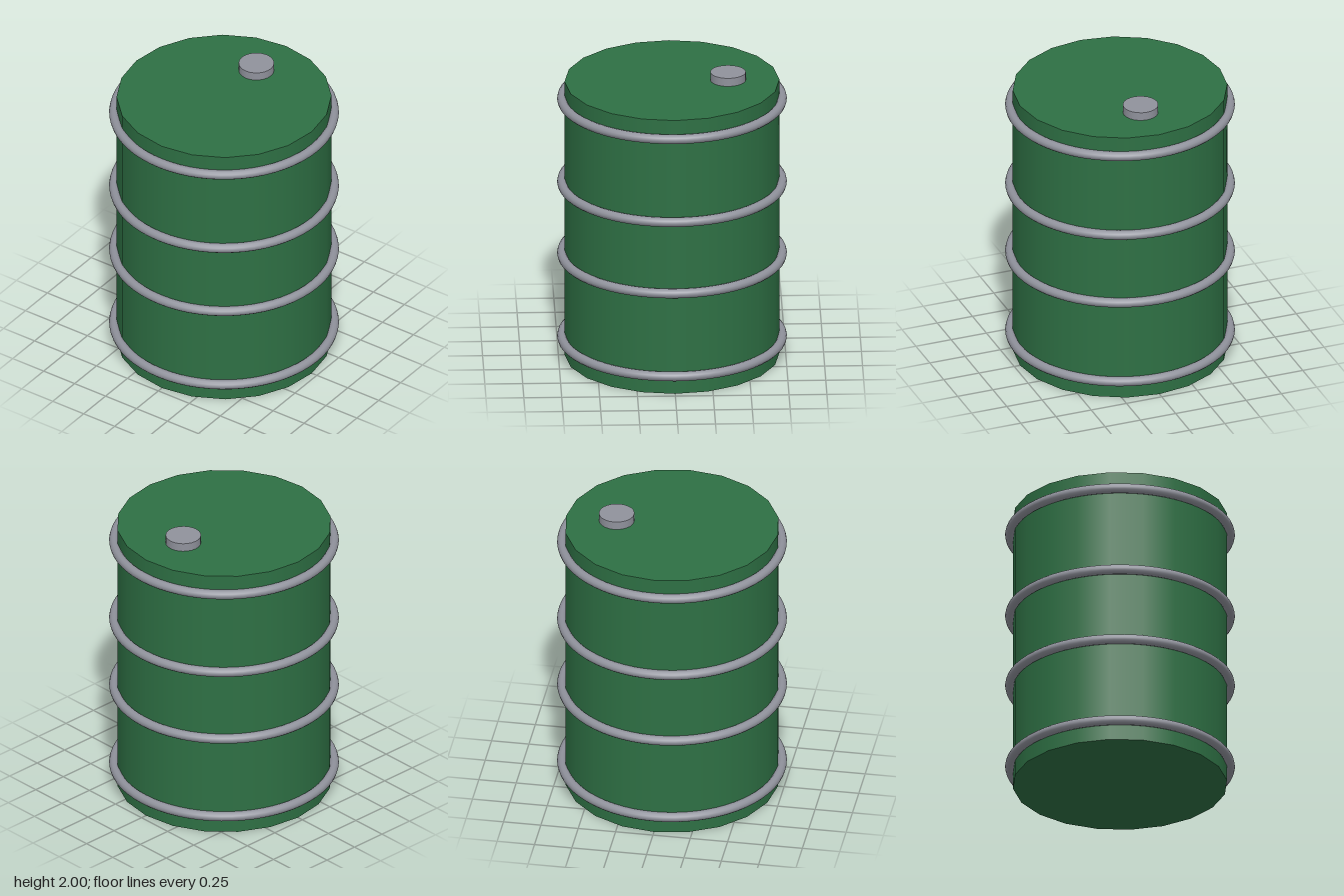
import * as THREE from 'three';

export function createModel() {
  const green = new THREE.MeshStandardMaterial({ color: 0x2e7044 });
  green.name = 'green paint';
  const steel = new THREE.MeshStandardMaterial({ color: 0x90929c });
  steel.name = 'grey steel';

  const model = new THREE.Group();
  model.name = 'barrel';

  const add = (name, geometry, material, x, y) => {
    const mesh = new THREE.Mesh(geometry, material);
    mesh.name = name;
    mesh.position.set(x, y, 0);
    model.add(mesh);
  };

  // Drum body, closed at both ends
  const height = 1.943;
  add('drumBody', new THREE.CylinderGeometry(0.709, 0.709, height, 20), green, 0, height / 2);

  // Hoops around the body
  const hoop = new THREE.TorusGeometry(0.726, 0.032, 12, 64).rotateX(Math.PI / 2);
  [0.13, 0.72, 1.227, 1.817].forEach((y, i) => add(`hoop${i + 1}`, hoop, steel, 0, y));

  // Filler cap, sunk slightly into the lid
  add('fillerCap', new THREE.CylinderGeometry(0.117, 0.117, 0.08, 24), steel, 0.37, 1.96);

  return model;
}
